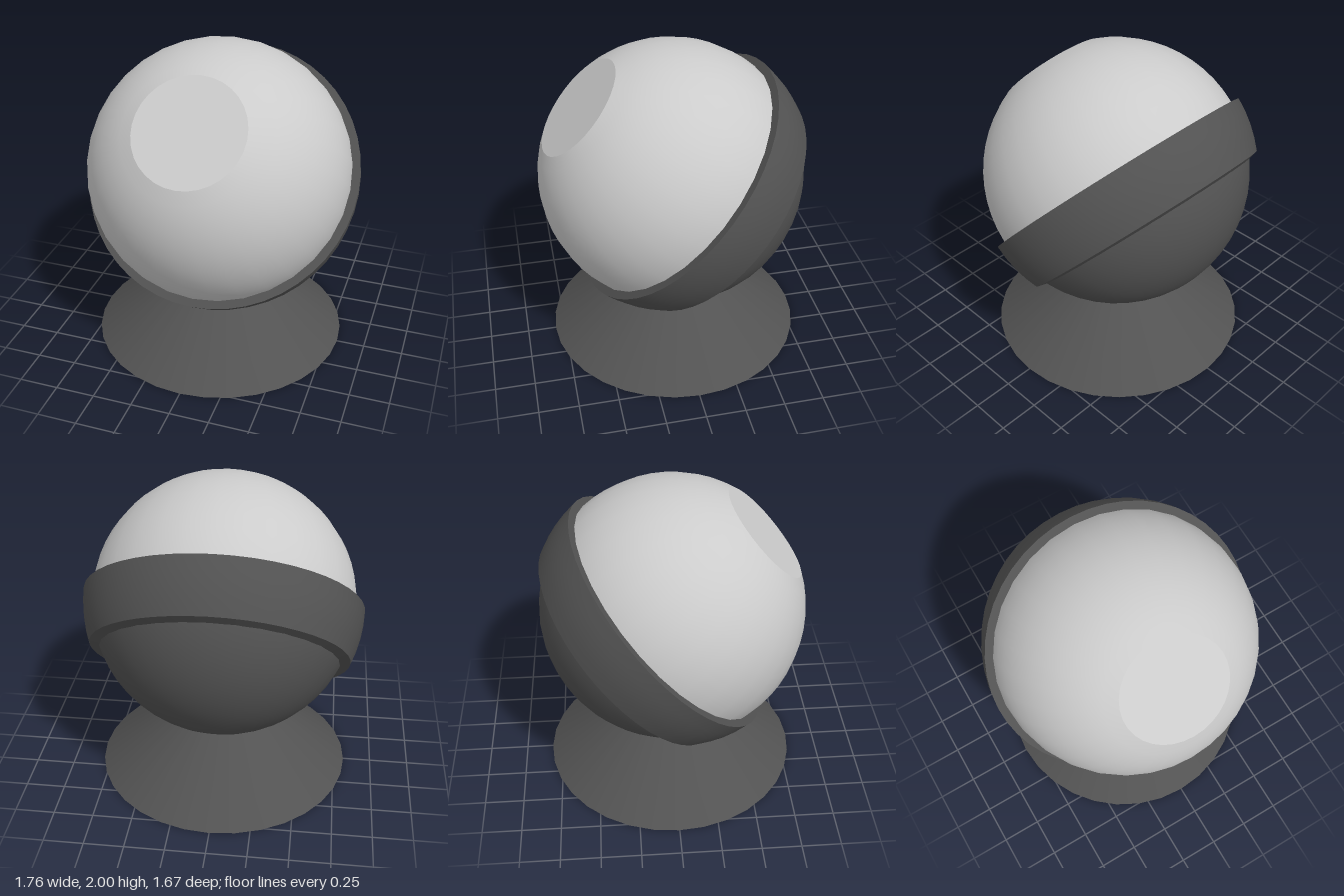
import * as THREE from 'three';
import { toCreasedNormals } from 'three/addons/utils/BufferGeometryUtils.js';

const R = 0.83;          // ball radius
const TILT = 0.83;       // ball axis leans from +y towards +z
const CENTRE = [0, 1.168, 0.011];
const FLAT = 0.758;      // axial height of the flat front facet
const SPLIT = -0.1;      // hidden joint under the band
const SEGMENTS = 32;

const light = new THREE.MeshStandardMaterial({ color: 0xcccccc });
const dark = new THREE.MeshStandardMaterial({ color: 0x525252 });

// Points on a circle of radius r between two axial heights
function arc(r, from, to, n) {
  const a = Math.asin(from / r), b = Math.asin(to / r);
  return Array.from({ length: n + 1 }, (_, i) => {
    const t = a + (b - a) * i / n;
    return new THREE.Vector2(Math.max(0, r * Math.cos(t)), r * Math.sin(t));
  });
}

// Lathe around the tilted axis, cut level at minY
function tiltedLathe(name, points, material, minY = 0, segments = SEGMENTS) {
  const geo = new THREE.LatheGeometry(points, segments);
  geo.rotateX(TILT).translate(...CENTRE);
  const p = geo.attributes.position;
  for (let i = 0; i < p.count; i++) p.setY(i, Math.max(minY, p.getY(i)));
  const mesh = new THREE.Mesh(toCreasedNormals(geo, 0.45), material);
  mesh.name = name;
  return mesh;
}

export function createModel() {
  const model = new THREE.Group();
  model.name = 'ballOnStand';

  // Light front shell, ending in a flat round facet
  model.add(tiltedLathe('frontShell',
    [...arc(R, SPLIT, FLAT, 12), new THREE.Vector2(0, FLAT)], light));

  // Dark rear shell
  model.add(tiltedLathe('rearShell', arc(R, -R, SPLIT, 12), dark));

  // Raised band with a slightly sloped back rim and a level cut at the stand
  model.add(tiltedLathe('band', [
    new THREE.Vector2(0.71, -0.376),
    ...arc(0.88, -0.354, -0.022, 4),
    new THREE.Vector2(0.8, -0.022),
  ], dark, 0.365, 48));

  // Conical stand
  const stand = new THREE.Mesh(
    toCreasedNormals(new THREE.CylinderGeometry(0.27, 0.82, 0.45, SEGMENTS), 0.45), dark);
  stand.position.set(0, 0.225, -0.005);
  stand.name = 'stand';
  model.add(stand);

  return model;
}
